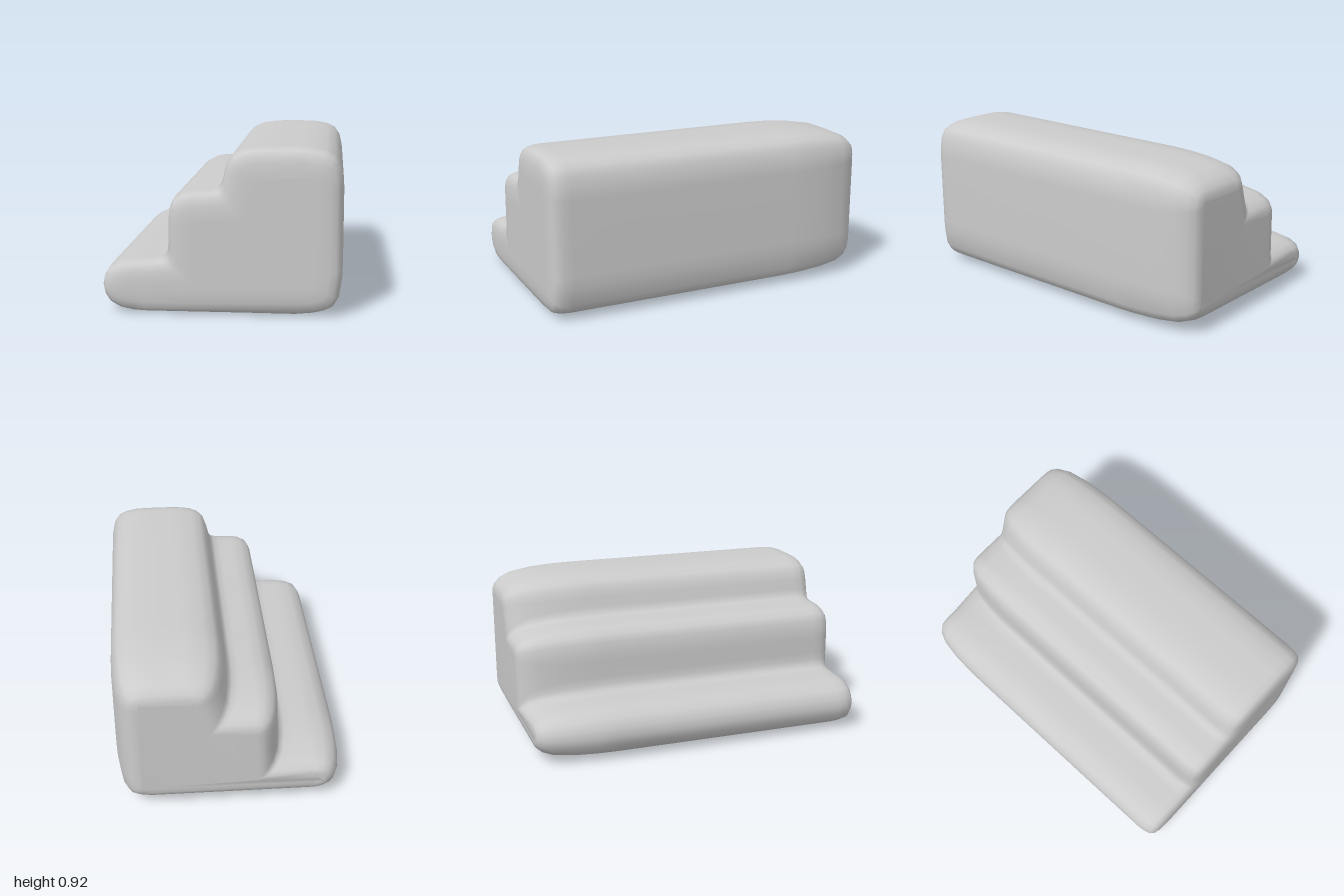
import * as THREE from 'three';

// Each corner of the stepped outline, counter-clockwise: where it shrinks to on
// the flat end faces, and its rounded outline points.
const corners = [
  { to: [-0.5, 0.15], pts: [[-0.38, 0.295], [-0.48, 0.293], [-0.56, 0.28], [-0.62, 0.25], [-0.65, 0.2], [-0.66, 0.15],
    [-0.65, 0.1], [-0.62, 0.055], [-0.56, 0.02], [-0.48, 0.004], [-0.4, 0]] },
  { to: [0.5, 0.17], pts: [[0.4, 0], [0.5, 0.01], [0.56, 0.025], [0.61, 0.05], [0.64, 0.1], [0.655, 0.2], [0.658, 0.27]] },
  { to: [0.5, 0.75], pts: [[0.658, 0.7], [0.654, 0.76], [0.64, 0.83], [0.61, 0.876], [0.56, 0.9], [0.49, 0.915], [0.41, 0.919]] },
  { to: [0.2, 0.75], pts: [[0.27, 0.919], [0.2, 0.916], [0.12, 0.905], [0.065, 0.88], [0.035, 0.845], [0.015, 0.79]] },
  { to: [0.12, 0.54], pts: [[0.003, 0.735], [-0.01, 0.705], [-0.03, 0.686], [-0.07, 0.678]] },
  { to: [-0.14, 0.52], pts: [[-0.15, 0.676], [-0.21, 0.665], [-0.26, 0.637], [-0.283, 0.595], [-0.293, 0.53], [-0.295, 0.48]] },
  { to: [-0.16, 0.19], pts: [[-0.295, 0.39], [-0.299, 0.345], [-0.312, 0.312], [-0.34, 0.299]] }
];

// Depth of each cross-section and how far it has shrunk: broad rounding at the back, tight at the front
const sections = [
  [-1, 1], [-0.997, 0.82], [-0.985, 0.64], [-0.95, 0.42], [-0.88, 0.22], [-0.75, 0.08], [-0.62, 0.02], [-0.5, 0],
  [0, 0], [0.5, 0], [0.88, 0], [0.93, 0.03], [0.965, 0.1], [0.985, 0.25], [0.995, 0.5], [0.999, 0.8], [1, 1]
];

function outlines() {
  const outer = [], inner = [];
  for (const { to, pts } of corners) {
    const cx = pts.reduce((s, p) => s + p[0], 0) / pts.length;
    const cy = pts.reduce((s, p) => s + p[1], 0) / pts.length;
    for (const [x, y] of pts) {
      outer.push(new THREE.Vector2(x, y));
      inner.push(new THREE.Vector2(to[0] + 0.15 * (x - cx), to[1] + 0.15 * (y - cy)));
    }
  }
  return { outer, inner };
}

function steppedBody() {
  const { outer, inner } = outlines();
  const n = outer.length;
  const positions = [], index = [];

  // Cross-sections from back to front; the low step ends slightly short at the back
  for (const [z, t] of sections) {
    for (let i = 0; i < n; i++) {
      const p = outer[i].clone().lerp(inner[i], t);
      const low = z < 0 ? 0.025 * t * THREE.MathUtils.smoothstep(-p.x, 0.15, 0.42) : 0;
      positions.push(p.x, p.y, z + low);
    }
  }
  for (let s = 0; s < sections.length - 1; s++) {
    for (let i = 0; i < n; i++) {
      const a = s * n + i, b = s * n + (i + 1) % n;
      index.push(a, b, b + n, a, b + n, a + n);
    }
  }

  // Flat end faces
  const front = (sections.length - 1) * n;
  for (const [a, b, c] of THREE.ShapeUtils.triangulateShape(inner, [])) {
    index.push(front + a, front + b, front + c);
    index.push(a, c, b);
  }

  const geometry = new THREE.BufferGeometry();
  geometry.setAttribute('position', new THREE.Float32BufferAttribute(positions, 3));
  geometry.setIndex(index);
  geometry.computeVertexNormals();
  return geometry;
}

export function createModel() {
  const model = new THREE.Group();
  model.name = 'softSteps';
  const body = new THREE.Mesh(steppedBody(), new THREE.MeshStandardMaterial({ color: 0xcccccc }));
  body.name = 'steppedBody';
  model.add(body);
  return model;
}
